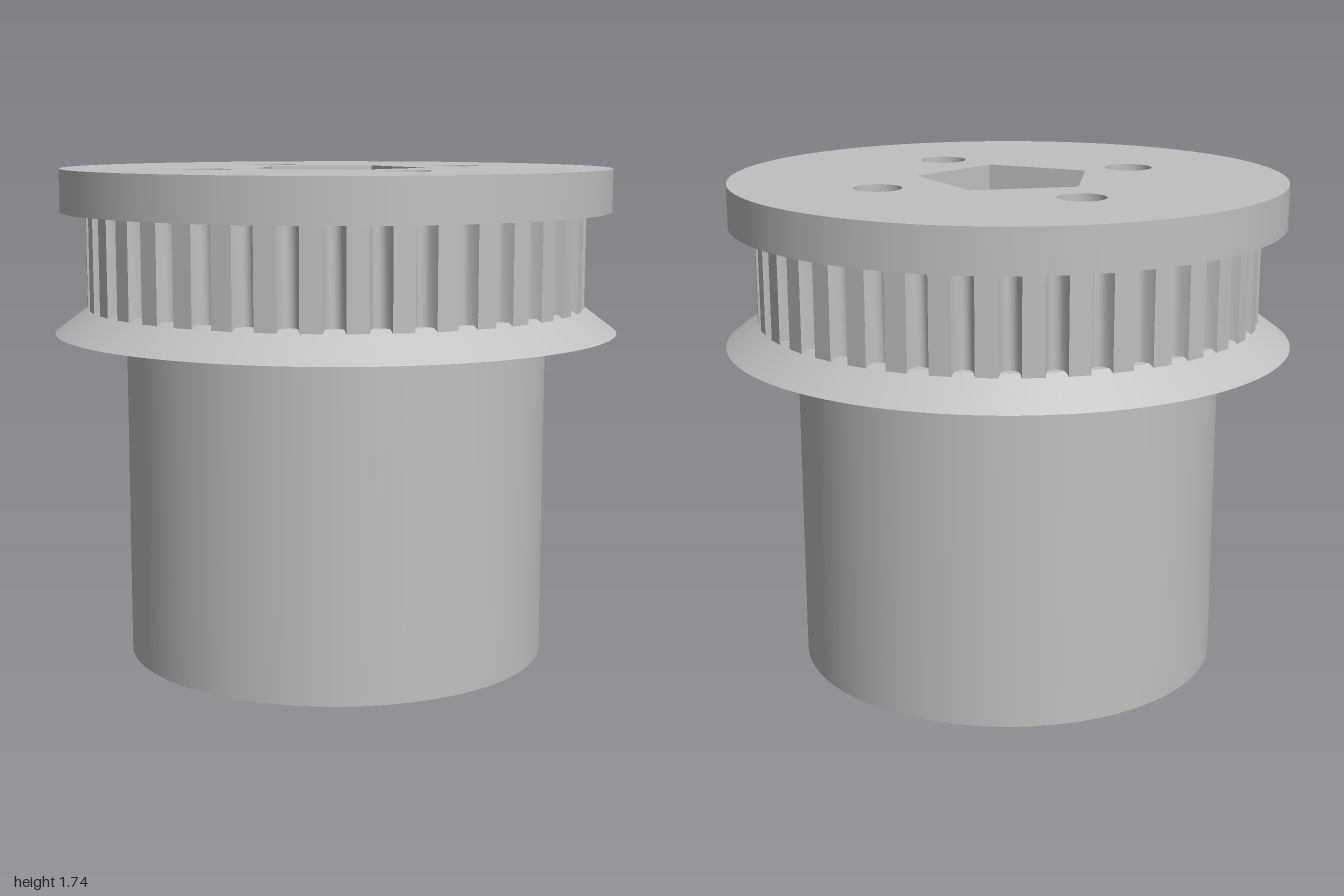
import * as THREE from 'three';
import { toCreasedNormals } from 'three/addons/utils/BufferGeometryUtils.js';

const HEIGHT = 1.74, TEETH = 38, SEGMENTS = 96;
const BOLT_CIRCLE = 0.5, BOLT_RADIUS = 0.083, POCKET_DEPTH = 0.2;
const rad = THREE.MathUtils.degToRad;

export function createModel() {
  const group = new THREE.Group();
  const steel = new THREE.MeshStandardMaterial({ color: 0xc0c0c0, side: THREE.DoubleSide });

  const add = (name, geometry, y = 0) => {
    const mesh = new THREE.Mesh(geometry, steel);
    mesh.name = name;
    mesh.position.y = y;
    group.add(mesh);
    return mesh;
  };

  const circle = (r, x = 0, y = 0) => new THREE.Path().absarc(x, y, r, 0, Math.PI * 2, true);
  const disc = (r) => new THREE.Shape().absarc(0, 0, r, 0, Math.PI * 2, false);
  const pentagon = (r, angle) => new THREE.Path().setFromPoints(
    Array.from({ length: 5 }, (_, i) => {
      const a = angle + i * Math.PI * 0.4;
      return new THREE.Vector2(Math.cos(a) * r, Math.sin(a) * r);
    }));

  // Bolt hole centres
  const bolts = [0, 1, 2, 3].map((i) => {
    const a = i * Math.PI / 2;
    return [Math.cos(a) * BOLT_CIRCLE, Math.sin(a) * BOLT_CIRCLE];
  });
  const drill = (shape) => {
    bolts.forEach(([x, y]) => shape.holes.push(circle(BOLT_RADIUS, x, y)));
    return shape;
  };

  // Flat face at height y, facing up or down
  const face = (name, shape, y, up) =>
    add(name, new THREE.ShapeGeometry(shape, 48).rotateX(up ? -Math.PI / 2 : Math.PI / 2), y);
  const ring = (name, inner, outer, y, up) => {
    const shape = disc(outer);
    shape.holes.push(circle(inner));
    face(name, shape, y, up);
  };
  // Open round wall between two heights
  const wall = (name, rTop, rBottom, y0, y1, sides = SEGMENTS) =>
    add(name, new THREE.CylinderGeometry(rTop, rBottom, y1 - y0, sides, 1, true), (y0 + y1) / 2);

  // Hub and flanges
  wall('hub', 0.75, 0.75, 0, 1.165);
  ring('lowerFlangeUnderside', 0.75, 1, 1.165, false);
  wall('lowerFlange', 0.87, 1, 1.165, 1.263);
  ring('lowerFlangeLedge', 0.8, 0.87, 1.263, true);
  ring('upperFlangeUnderside', 0.8, 0.975, 1.59, false);
  wall('upperFlange', 0.975, 0.975, 1.59, HEIGHT);

  // Toothed belt ring: flat tips with rounded grooves
  const outline = [];
  const pitch = Math.PI * 2 / TEETH;
  for (let i = 0; i < TEETH; i++) {
    for (let j = 0; j <= 6; j++) {
      const t = j / 6;
      const a = (i + 0.25 + 0.5 * t) * pitch;
      const r = 0.886 - 0.05 * Math.sqrt(Math.max(0, 1 - (2 * t - 1) ** 2));
      outline.push(new THREE.Vector2(Math.cos(a) * r, Math.sin(a) * r));
    }
  }
  const teeth = new THREE.ExtrudeGeometry(drill(new THREE.Shape(outline)),
    { depth: 0.39, bevelEnabled: false, curveSegments: 24 }).rotateX(-Math.PI / 2);
  add('beltTeeth', toCreasedNormals(teeth, rad(35)), 1.2);

  // End faces, with five-sided blind pockets and bolt holes cut out
  const pocket = (name, r, angle, y0, floorY) => {
    const start = Math.PI / 2 - angle;
    const walls = new THREE.CylinderGeometry(r, r, POCKET_DEPTH, 5, 1, true, start).toNonIndexed();
    walls.computeVertexNormals();
    add(name + 'Walls', walls, y0 + POCKET_DEPTH / 2);
    const up = floorY === y0;
    const floor = new THREE.CircleGeometry(r, 5, up ? -angle : angle);
    add(name + 'Floor', floor.rotateX(up ? -Math.PI / 2 : Math.PI / 2), floorY);
  };
  const topAngle = rad(178.7), bottomAngle = rad(270);
  const top = drill(disc(0.975));
  top.holes.push(pentagon(0.32, -topAngle));
  face('topFace', top, HEIGHT, true);
  pocket('topPocket', 0.32, topAngle, HEIGHT - POCKET_DEPTH, HEIGHT - POCKET_DEPTH);

  const bottom = drill(disc(0.75));
  bottom.holes.push(pentagon(0.25, bottomAngle));
  face('bottomFace', bottom, 0, false);
  pocket('bottomPocket', 0.25, bottomAngle, 0, POCKET_DEPTH);

  // Bolt hole walls running right through
  bolts.forEach(([x, z]) => {
    const bore = wall('boltHole', BOLT_RADIUS, BOLT_RADIUS, 0, HEIGHT, 32);
    bore.position.x = x;
    bore.position.z = z;
  });

  return group;
}
